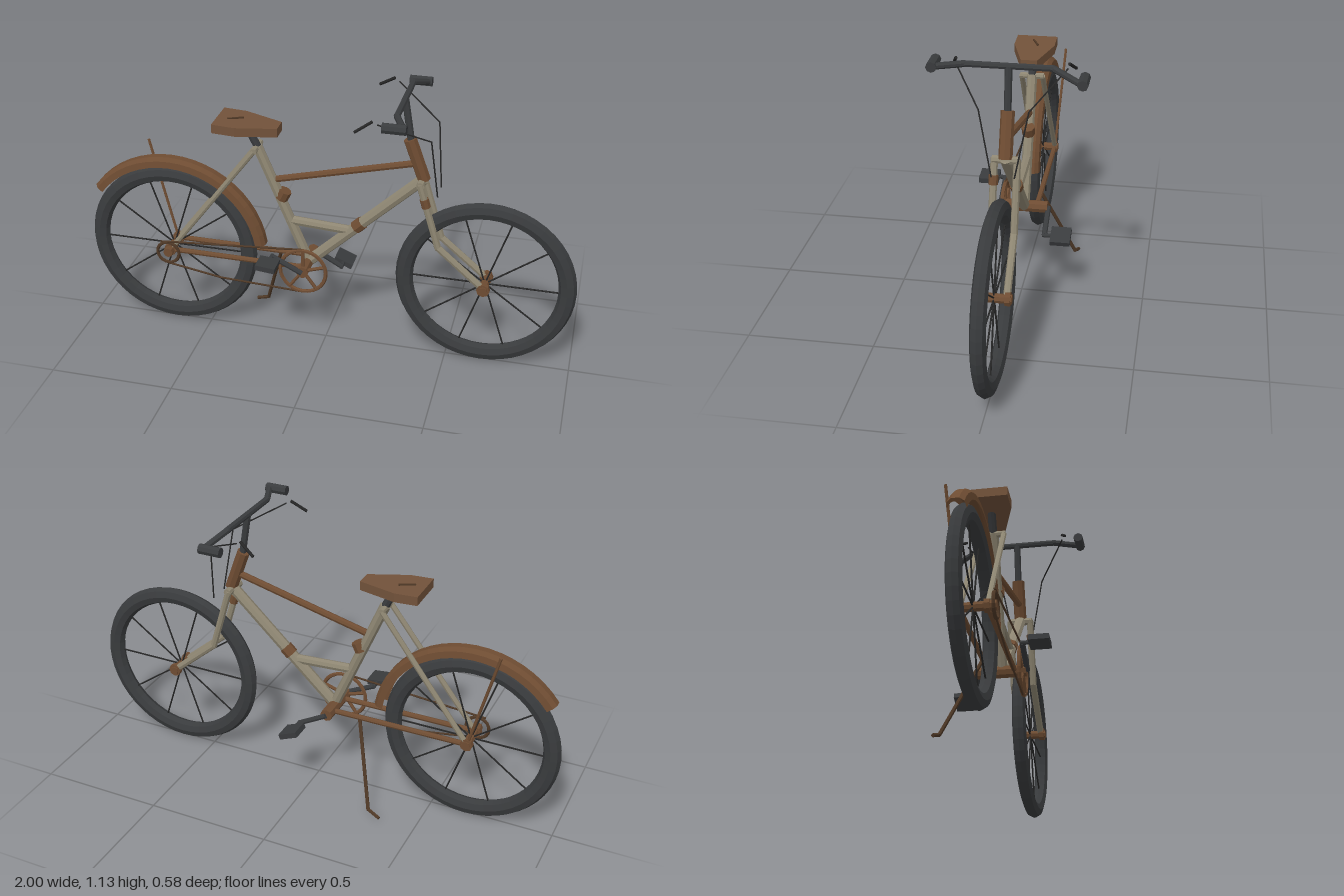
import * as THREE from 'three';

const mat = (name, color) => {
  const m = new THREE.MeshStandardMaterial({ color, flatShading: true });
  m.name = name;
  return m;
};
const V = (a) => new THREE.Vector3(...a);

export function createModel() {
  const bike = new THREE.Group();
  bike.name = 'bicycle';
  const rubber = mat('dark rubber', 0x393b3d);
  const wire = mat('dark wire', 0x262626);
  const frame = mat('pale frame', 0x8e8672);
  const brown = mat('brown metal', 0x6e4c32);
  const darkBrown = mat('dark brown', 0x4e3826);
  const leather = mat('leather', 0x72523a);
  const fenderPaint = mat('fender brown', 0x6e4c32);
  fenderPaint.side = THREE.DoubleSide;

  const add = (name, geo, material, parent = bike) => {
    const m = new THREE.Mesh(geo, material);
    m.name = name;
    parent.add(m);
    return m;
  };
  // Straight round bar between two points
  const bar = (name, a, b, r, material, sides = 8, parent = bike, r2 = r) => {
    const p = V(a), d = V(b).sub(p);
    const m = add(name, new THREE.CylinderGeometry(r2, r, d.length(), sides), material, parent);
    m.position.copy(p).addScaledVector(d, 0.5);
    m.quaternion.setFromUnitVectors(new THREE.Vector3(0, 1, 0), d.normalize());
    return m;
  };
  // Chain of bars with rounded joints
  const path = (name, pts, r, material, sides = 8) => {
    const g = new THREE.Group();
    g.name = name;
    bike.add(g);
    for (let i = 0; i < pts.length - 1; i++) {
      bar(name + 'Section', pts[i], pts[i + 1], r, material, sides, g);
      if (i) add(name + 'Joint', new THREE.SphereGeometry(r, sides, 6), material, g).position.set(...pts[i]);
    }
    return g;
  };

  const RX = -0.645, FX = 0.642, HY = 0.36;
  const BB = [-0.075, 0.357];

  // Wheels: tyre, spokes, hub and axle nuts
  for (const [label, x] of [['rear', RX], ['front', FX]]) {
    const w = new THREE.Group();
    w.name = label + 'Wheel';
    w.position.set(x, HY, 0);
    bike.add(w);
    add('tyre', new THREE.TorusGeometry(0.321, 0.035, 8, 48), rubber, w).scale.z = 0.82;
    for (let i = 0; i < 10; i++) {
      const a = (i / 10) * Math.PI * 2, c = Math.cos(a), s = Math.sin(a);
      bar('spoke', [c * 0.015, s * 0.015, 0], [c * 0.295, s * 0.295, 0], 0.0035, wire, 5, w);
    }
    bar('hub', [0, 0, -0.065], [0, 0, 0.065], 0.018, brown, 8, w);
    for (const s of [-1, 1]) bar('axleNut', [0, 0, s * 0.04], [0, 0, s * 0.06], 0.026, brown, 8, w);
  }

  // Frame tubes
  bar('seatTube', [-0.07, 0.36, 0], [-0.275, 0.85, 0], 0.021, frame);
  bar('downTube', [-0.07, 0.36, 0], [0.385, 0.79, 0], 0.023, frame);
  bar('lowerBrace', [-0.155, 0.54, 0], [0.1, 0.525, 0], 0.019, frame);
  bar('topTube', [-0.2, 0.715, 0], [0.345, 0.85, 0], 0.014, brown);
  bar('headTube', [0.325, 0.95, 0], [0.385, 0.785, 0], 0.026, brown);
  for (const s of [-1, 1]) {
    bar('seatStay', [-0.278, 0.845, s * 0.042], [RX, HY, s * 0.05], 0.011, frame);
    bar('chainStay', [RX, HY, s * 0.05], [BB[0], BB[1], s * 0.05], 0.011, brown);
    path('forkBlade', [[0.375, 0.785, s * 0.042], [0.455, 0.52, s * 0.042], [FX, HY, s * 0.045]], 0.014, frame);
  }
  bar('stayBridge', [-0.278, 0.845, -0.048], [-0.278, 0.845, 0.048], 0.013, frame);
  bar('forkCrown', [0.378, 0.78, -0.05], [0.378, 0.78, 0.05], 0.016, frame);

  // Clamps on the tubes
  bar('seatTubeClamp', [-0.165, 0.668, 0], [-0.182, 0.632, 0], 0.027, brown);
  bar('downTubeClamp', [0.12, 0.54, 0], [0.148, 0.567, 0], 0.027, brown);
  bar('forkClamp', [0.394, 0.725, 0.042], [0.404, 0.69, 0.042], 0.018, brown);

  // Saddle and post
  bar('seatPost', [-0.268, 0.835, 0], [-0.312, 0.925, 0], 0.016, rubber);
  const outline = new THREE.Shape();
  [[-0.432, -0.082], [-0.34, -0.082], [-0.184, -0.033], [-0.184, 0.033], [-0.34, 0.082], [-0.432, 0.082]]
    .forEach(([x, z], i) => (i ? outline.lineTo(x, z) : outline.moveTo(x, z)));
  const seatGeo = new THREE.ExtrudeGeometry(outline, { depth: 0.036, bevelEnabled: false }).rotateX(-Math.PI / 2);
  const sp = seatGeo.attributes.position;
  for (let i = 0; i < sp.count; i++) sp.setY(i, sp.getY(i) - (sp.getX(i) + 0.432) * 0.05);
  seatGeo.computeVertexNormals();
  add('seat', seatGeo, leather).position.y = 0.924;
  const slot = add('seatSlot', new THREE.BoxGeometry(0.065, 0.008, 0.007), darkBrown);
  slot.position.set(-0.36, 0.957, -0.002);
  slot.rotation.y = 0.42;

  // Rear fender: shallow arched channel swept around the wheel
  const deg = Math.PI / 180;
  const section = [[0.362, -0.034], [0.388, -0.03], [0.401, -0.014], [0.401, 0.014], [0.388, 0.03], [0.362, 0.034]]
    .map(([r, z]) => new THREE.Vector2(r, z));
  const fender = add('rearFender',
    new THREE.LatheGeometry(section, 20, 98 * deg, 135 * deg).rotateX(Math.PI / 2), fenderPaint);
  fender.position.set(RX, HY, 0);
  bar('fenderRod', [-0.76, 0.785, -0.08], [-0.65, 0.37, -0.052], 0.006, brown, 6);

  // Steering: stem, bar and grips
  bar('stem', [0.33, 0.94, 0], [0.302, 1.112, 0], 0.014, rubber);
  path('handlebar', [[0.345, 1.112, 0.265], [0.302, 1.112, 0.16], [0.302, 1.112, -0.16], [0.345, 1.074, -0.265]],
    0.0125, rubber);
  for (const [y, z] of [[1.112, 0.27], [1.074, -0.27]])
    bar('grip', [0.27, y, z], [0.358, y, z], 0.02, rubber);

  // Brake levers and cables
  for (const s of [-1, 1]) {
    bar('brakeLever', [0.16, 1.062, s * 0.226], [0.222, 1.102, s * 0.207], 0.006, wire, 6);
    path('brakeCable', [[0.24, 1.09, s * 0.205], [0.42, 0.99, s * 0.09], [0.445, 0.74, s * 0.042]], 0.003, wire, 5);
  }

  // Bottom bracket and chainring
  bar('bottomBracket', [...BB, -0.095], [...BB, 0.095], 0.025, brown);
  const ring = new THREE.Group();
  ring.name = 'chainring';
  ring.position.set(...BB, 0.08);
  bike.add(ring);
  add('chainringRim', new THREE.TorusGeometry(0.094, 0.008, 6, 28), brown, ring);
  for (let i = 0; i < 5; i++) {
    const a = (18 + i * 72) * deg;
    bar('chainringArm', [0, 0, 0], [Math.cos(a) * 0.092, Math.sin(a) * 0.092, 0], 0.007, brown, 6, ring);
  }

  // Rear sprocket and chain runs
  add('sprocket', new THREE.TorusGeometry(0.046, 0.007, 6, 20), darkBrown).position.set(RX, HY, 0.078);
  bar('sprocketAxle', [RX, HY, 0.05], [RX, HY, 0.084], 0.02, brown);
  bar('chainTop', [RX - 0.03, HY + 0.049, 0.08], [BB[0], BB[1] + 0.098, 0.08], 0.004, darkBrown, 6);
  path('chainBottom', [[RX, HY - 0.048, 0.08], [-0.42, 0.274, 0.08], [BB[0], BB[1] - 0.098, 0.08]], 0.004, darkBrown, 6);

  // Cranks and pedals
  for (const [s, x, y, tilt] of [[1, -0.197, 0.418, -0.1], [-1, 0.042, 0.291, -0.4]]) {
    bar('crank', [...BB, s * 0.098], [x, y, s * 0.098], 0.011, rubber);
    bar('pedalAxle', [x, y, s * 0.09], [x, y, s * 0.13], 0.009, rubber);
    const pedal = add('pedal', new THREE.BoxGeometry(0.08, 0.022, 0.08), rubber);
    pedal.position.set(x, y, s * 0.164);
    pedal.rotation.z = tilt;
  }

  // Kickstand
  path('kickstand', [[-0.2, 0.36, -0.05], [-0.303, 0.032, -0.187], [-0.355, 0.012, -0.198]], 0.0075, darkBrown, 6);

  return bike;
}
